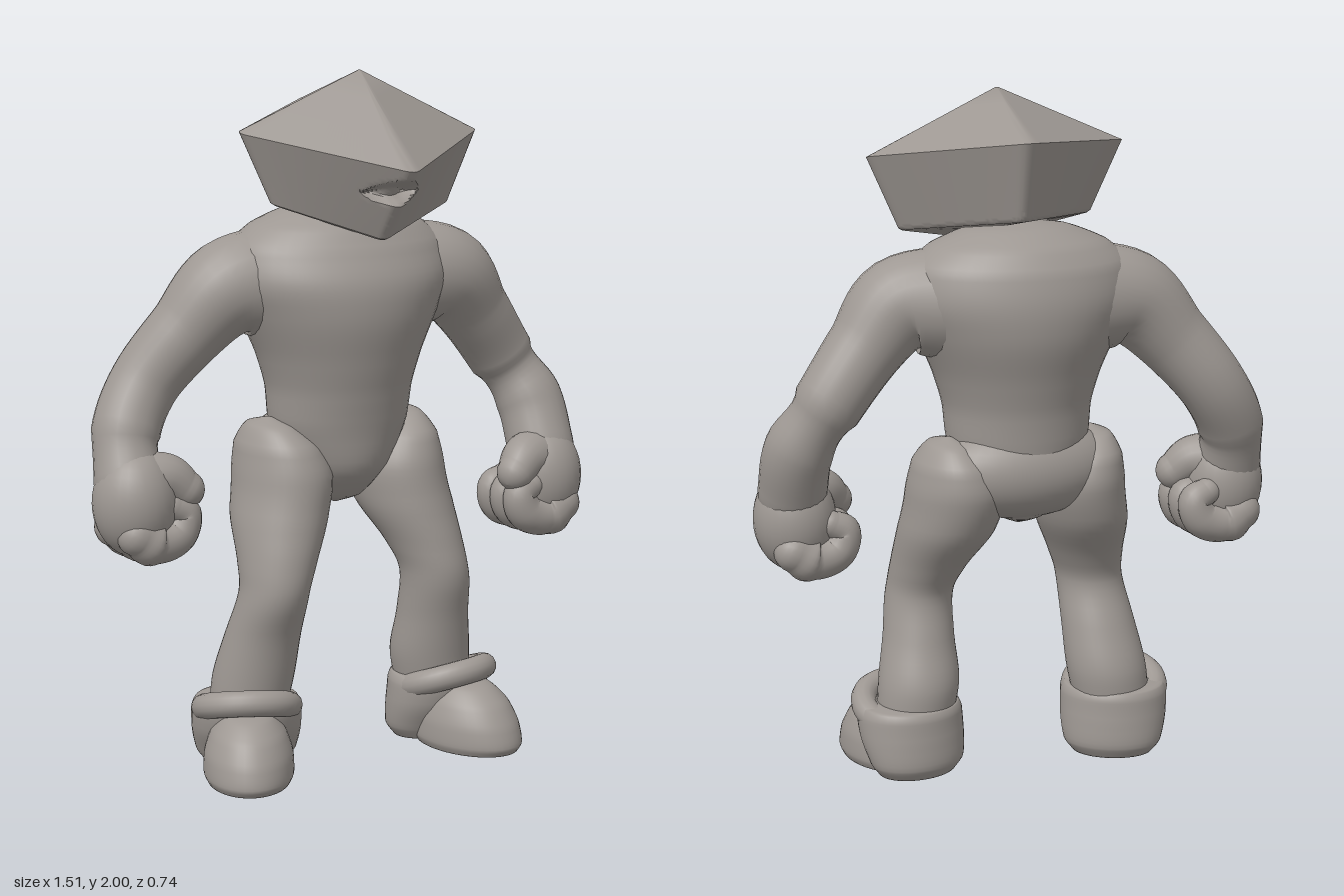
import * as THREE from 'three';
import { toCreasedNormals } from 'three/addons/utils/BufferGeometryUtils.js';

const clay = new THREE.MeshStandardMaterial({ color: 0x9e9893 });
clay.name = 'warm grey clay';
const V = (x, y, z) => new THREE.Vector3(x, y, z);

// Joins closed rings of points into one surface; both ends are closed with a fan.
function skin(rings) {
  const n = rings[0].length, pos = [], idx = [];
  rings.forEach(r => r.forEach(p => pos.push(p.x, p.y, p.z)));
  for (let i = 0; i < rings.length - 1; i++) {
    for (let j = 0; j < n; j++) {
      const a = i * n + j, b = i * n + (j + 1) % n;
      idx.push(a, b, a + n, b, b + n, a + n);
    }
  }
  [rings[0], rings[rings.length - 1]].forEach((ring, end) => {
    const c = ring.reduce((s, p) => s.add(p), V(0, 0, 0)).divideScalar(n);
    const first = end ? (rings.length - 1) * n : 0, ci = pos.length / 3;
    pos.push(c.x, c.y, c.z);
    for (let j = 0; j < n; j++) {
      const a = first + j, b = first + (j + 1) % n;
      if (end) idx.push(a, b, ci); else idx.push(b, a, ci);
    }
  });
  const g = new THREE.BufferGeometry();
  g.setAttribute('position', new THREE.Float32BufferAttribute(pos, 3));
  g.setIndex(idx);
  g.computeVertexNormals();
  return g;
}

// Level oval sections, bottom to top: [x, y, z, halfWidth, halfDepth]
function stack(sections, n = 40) {
  const mid = new THREE.CatmullRomCurve3(sections.map(s => V(s[0], s[1], s[2])));
  const rad = new THREE.CatmullRomCurve3(sections.map(s => V(s[3], s[4], 0)));
  const steps = (sections.length - 1) * 5, rings = [];
  for (let i = 0; i <= steps; i++) {
    const c = mid.getPoint(i / steps), r = rad.getPoint(i / steps), ring = [];
    for (let j = 0; j < n; j++) {
      const a = j / n * Math.PI * 2;
      ring.push(V(c.x + r.x * Math.cos(a), c.y, c.z - r.y * Math.sin(a)));
    }
    rings.push(ring);
  }
  return skin(rings);
}

// Round-ended limb along a curve: [x, y, z, radius]
function limb(points, n = 24) {
  const curve = new THREE.CatmullRomCurve3(points.map(p => V(p[0], p[1], p[2])));
  const rad = new THREE.CatmullRomCurve3(points.map(p => V(p[3], 0, 0)));
  const steps = (points.length - 1) * 7, rings = [];
  let N = V(0.31, 0.2, 0.93);
  const ring = (c, T, r) => {
    N = N.clone().addScaledVector(T, -N.dot(T)).normalize();
    const B = T.clone().cross(N), out = [];
    for (let j = 0; j < n; j++) {
      const a = j / n * Math.PI * 2;
      out.push(c.clone().addScaledVector(N, r * Math.cos(a)).addScaledVector(B, r * Math.sin(a)));
    }
    rings.push(out);
  };
  const cap = (t, k) => {
    const a = k / 6 * Math.PI / 2, r = rad.getPoint(t).x, T = curve.getTangent(t);
    ring(curve.getPoint(t).addScaledVector(T, (t ? 1 : -1) * r * Math.cos(a)), T, r * Math.sin(a) + 0.0005);
  };
  for (let k = 0; k < 6; k++) cap(0, k);
  for (let i = 0; i <= steps; i++) ring(curve.getPoint(i / steps), curve.getTangent(i / steps), rad.getPoint(i / steps).x);
  for (let k = 5; k >= 0; k--) cap(1, k);
  return skin(rings);
}

// Gem-shaped head: skewed four-sided wall under a low pyramid, with a mouth notch in the front edge
function headGeometry() {
  const rim = [V(0.435, 1.82, 0.07), V(0.12, 1.895, -0.385), V(-0.345, 1.84, 0), V(0, 1.74, 0.375)];
  const base = [V(0.34, 1.61, 0.06), V(0.1, 1.67, -0.3), V(-0.245, 1.635, 0.01), V(0, 1.535, 0.225)];
  const apex = V(0.04, 2.003, 0.04), M = 40;
  const outline = corners => {
    const out = [];
    corners.forEach((c, i) => {
      const next = corners[(i + 1) % 4], prev = corners[(i + 3) % 4];
      const inA = c.clone().lerp(prev, 0.06), outA = c.clone().lerp(next, 0.06);
      for (let k = 0; k < 4; k++) out.push(new THREE.QuadraticBezierCurve3(inA, c, outA).getPoint(k / 4));
      for (let k = 0; k < M; k++) out.push(outA.clone().lerp(next.clone().lerp(c, 0.06), k / M));
    });
    return out;
  };
  const scaled = (cs, target, t) => cs.map(c => c.clone().lerp(target, t));
  const baseMid = V(0.05, 1.61, 0);
  const rings = [0.98, 0.5, 0.03].map(t => outline(scaled(base, baseMid, t)));
  for (let i = 1; i <= 35; i++) {
    const ring = outline(base.map((c, k) => c.clone().lerp(rim[k], i / 36)));
    ring.forEach(p => {
      if (p.z < 0.1) return;
      const d = 1 - (p.x / 0.085) ** 2 - Math.abs(p.y - 1.68) / 0.038;
      if (d > 0) p.z -= 0.06 * Math.min(1, d * 1.5);
    });
    rings.push(ring);
  }
  rings.push(outline(rim));
  [0.03, 0.35, 0.7, 0.99].forEach(t => rings.push(outline(scaled(rim, apex, t))));
  return toCreasedNormals(skin(rings), 0.6);
}

export function createModel() {
  const model = new THREE.Group();
  const add = (name, geometry, parent = model) => {
    const mesh = new THREE.Mesh(geometry, clay);
    mesh.name = name;
    parent.add(mesh);
    return mesh;
  };

  add('head', headGeometry());
  add('neck', stack([[0, 1.48, 0.05, 0.1, 0.1], [0, 1.56, 0.04, 0.09, 0.09], [0.02, 1.66, 0.02, 0.09, 0.09]]));

  // Torso, turned slightly so its left shoulder leads
  add('torso', stack([
    [0, 0.745, -0.03, 0.01, 0.01], [0, 0.775, -0.03, 0.075, 0.09], [0, 0.87, -0.02, 0.15, 0.16],
    [0, 1.0, -0.015, 0.208, 0.18], [0, 1.1, -0.01, 0.218, 0.195], [0, 1.2, -0.01, 0.247, 0.22],
    [0, 1.32, -0.015, 0.3, 0.25], [0, 1.42, -0.02, 0.34, 0.25], [0, 1.51, -0.03, 0.325, 0.22],
    [0, 1.57, -0.03, 0.26, 0.18], [0, 1.615, -0.03, 0.15, 0.11], [0, 1.635, -0.03, 0.01, 0.01],
  ], 48)).rotation.y = -0.12;

  // Seat that joins the thighs to the lower back
  const seat = new THREE.SphereGeometry(1, 36, 24);
  seat.scale(0.27, 0.145, 0.145).translate(0, 0.915, -0.065);
  add('seat', seat);

  // Arms
  add('leftArm', limb([
    [0.2, 1.405, 0.0, 0.165], [0.345, 1.395, 0.035, 0.14], [0.45, 1.285, 0.03, 0.11],
    [0.57, 1.13, 0.02, 0.1], [0.637, 1.0, 0.07, 0.1], [0.64, 0.86, 0.13, 0.1]]));
  add('rightArm', limb([
    [-0.18, 1.405, -0.07, 0.165], [-0.325, 1.39, -0.09, 0.14], [-0.44, 1.275, -0.125, 0.11],
    [-0.555, 1.13, -0.165, 0.1], [-0.63, 1.0, -0.14, 0.098], [-0.65, 0.87, -0.09, 0.098]]));

  // Fists: palm, three curled fingers and a thumb, curling towards the body
  const fist = (name, side, x, y, z) => {
    const g = new THREE.Group();
    g.name = name;
    g.position.set(x, y, z);
    model.add(g);
    const palm = new THREE.SphereGeometry(1, 28, 20);
    palm.scale(0.12, 0.155, 0.122).translate(side * 0.025, 0.01, 0);
    add('palm', palm, g);
    [-0.07, -0.005, 0.06].forEach((dz, i) => add('finger' + (i + 1), limb([
      [side * 0.05, -0.07, dz, 0.06], [side * -0.01, -0.1, dz, 0.06],
      [side * -0.08, -0.08, dz, 0.056], [side * -0.1, -0.025, dz, 0.048],
      [side * -0.06, 0.0, dz, 0.04]], 18), g));
    add('thumb', limb([[side * 0.02, 0.07, 0.0, 0.085], [side * -0.06, 0.075, 0.03, 0.07],
      [side * -0.11, 0.04, 0.05, 0.055]], 18), g);
  };
  fist('leftHand', 1, 0.605, 0.77, 0.145);
  fist('rightHand', -1, -0.615, 0.805, -0.075);

  // Legs, the left one stepping forward
  const leg = (name, side, rows) => add(name, stack(rows.map(r => [side * r[0], ...r.slice(1)])));
  leg('leftLeg', 1, [
    [0.3, 0.17, 0.05, 0.115, 0.11], [0.287, 0.27, 0.055, 0.12, 0.118], [0.275, 0.4, 0.085, 0.105, 0.11],
    [0.262, 0.53, 0.11, 0.098, 0.112], [0.243, 0.62, 0.08, 0.11, 0.13], [0.21, 0.74, 0.02, 0.138, 0.165],
    [0.193, 0.85, -0.01, 0.142, 0.175], [0.205, 0.94, -0.02, 0.113, 0.155], [0.22, 1.0, -0.025, 0.055, 0.09],
    [0.22, 1.02, -0.03, 0.005, 0.005]]);
  leg('rightLeg', -1, [
    [0.3, 0.17, -0.03, 0.115, 0.11], [0.287, 0.27, -0.02, 0.12, 0.118], [0.275, 0.4, 0.015, 0.11, 0.11],
    [0.265, 0.53, 0.06, 0.098, 0.112], [0.245, 0.62, 0.045, 0.11, 0.13], [0.21, 0.74, 0, 0.133, 0.165],
    [0.187, 0.85, -0.02, 0.135, 0.175], [0.2, 0.94, -0.03, 0.108, 0.155], [0.22, 1.0, -0.035, 0.055, 0.09],
    [0.22, 1.02, -0.04, 0.005, 0.005]]);

  // Shoes: domed toe, slanted heel cuff and a rolled band sloping down from the instep
  const shoe = (name, x, z, yaw) => {
    const g = new THREE.Group();
    g.name = name;
    g.position.set(x, 0, z);
    g.rotation.y = yaw;
    model.add(g);
    add('toe', stack([[0, 0, 0.12, 0.12, 0.175], [0, 0.025, 0.12, 0.13, 0.188], [0, 0.08, 0.118, 0.128, 0.175],
      [0, 0.14, 0.11, 0.108, 0.145], [0, 0.185, 0.1, 0.07, 0.095], [0, 0.205, 0.09, 0.005, 0.005]]), g);
    add('heelCuff', stack([[0, 0.005, -0.04, 0.12, 0.09], [0, 0.04, -0.04, 0.146, 0.11], [0, 0.12, -0.012, 0.16, 0.136],
      [0, 0.18, 0, 0.16, 0.143], [0, 0.207, 0, 0.148, 0.132], [0, 0.213, 0, 0.1, 0.09]]), g);
    const band = new THREE.TorusGeometry(0.124, 0.038, 14, 44);
    band.rotateX(Math.PI / 2 - 0.36).translate(0, 0.184, 0.025);
    add('ankleBand', band, g);
  };
  shoe('leftShoe', 0.315, 0.06, 0.2);
  shoe('rightShoe', -0.315, -0.015, -0.5);

  return model;
}
